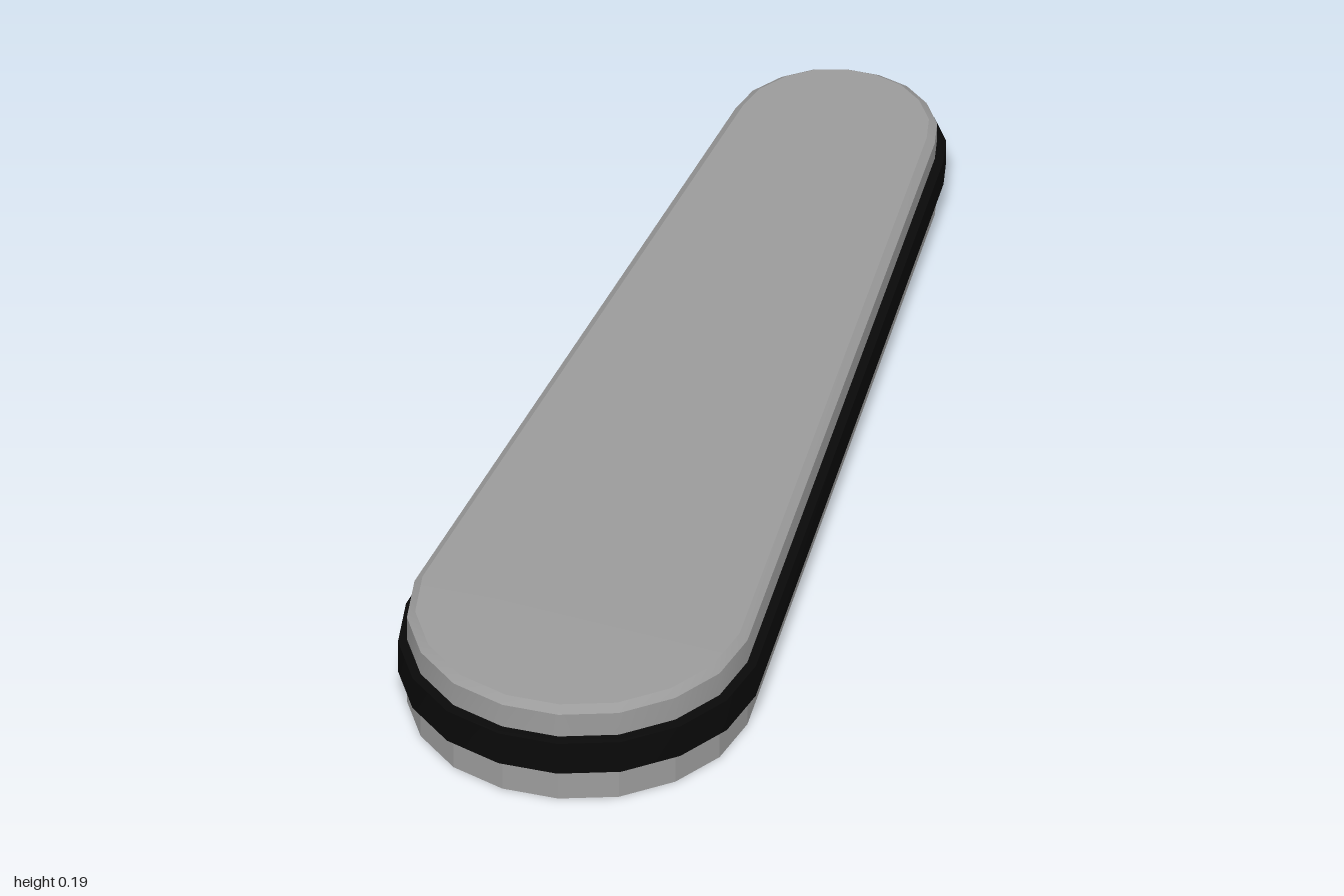
import * as THREE from 'three';
import { toCreasedNormals } from 'three/addons/utils/BufferGeometryUtils.js';

// Right half of the plan outline [x, z], wide front end to narrow back end
const half = [
  [0.05, 0.985], [0.148, 0.95], [0.228, 0.88], [0.28, 0.79], [0.298, 0.685],
  [0.178, -0.82], [0.165, -0.877], [0.13, -0.93], [0.083, -0.968], [0.028, -0.985],
];
const outline = [...half, ...half.map(([x, z]) => [-x, z]).reverse()];

// Outline grown outward by d, with mitred corners
function offsetOutline(d) {
  const n = outline.length;
  const normal = (p, q) => new THREE.Vector2(p[1] - q[1], q[0] - p[0]).normalize();
  return outline.map((p, i) => {
    const a = normal(outline[(i + n - 1) % n], p);
    const b = normal(p, outline[(i + 1) % n]);
    const m = a.clone().add(b).multiplyScalar(d / (1 + a.dot(b)));
    return [p[0] + m.x, p[1] + m.y];
  });
}

// Skin through levels [offset, height at front, height at back], with optional caps.
// Heights are level over the front curve, then slope down to the back.
function loft(levels, { top = false, bottom = false } = {}) {
  const rings = levels.map(([d, front, back]) => offsetOutline(d).map(([x, z]) => {
    const t = Math.min(1, (z + 1) / 1.68);
    return [x, THREE.MathUtils.lerp(back, front, t), z];
  }));
  const n = outline.length;
  const last = rings.length - 1;
  const pos = [];
  const quad = (a, b, c, d) => pos.push(...a, ...b, ...c, ...a, ...c, ...d);
  for (let i = 0; i < n; i++) {
    const j = (i + 1) % n;
    for (let k = 0; k < last; k++) quad(rings[k][i], rings[k][j], rings[k + 1][j], rings[k + 1][i]);
  }
  // Caps are strips running from side to side
  for (let i = 0; i < half.length - 1; i++) {
    const strip = (r) => [r[i], r[i + 1], r[n - 2 - i], r[n - 1 - i]];
    if (top) quad(...strip(rings[last]));
    if (bottom) quad(...strip(rings[0]).reverse());
  }
  const geo = new THREE.BufferGeometry();
  geo.setAttribute('position', new THREE.Float32BufferAttribute(pos, 3));
  geo.computeVertexNormals();
  return geo;
}

export function createModel() {
  const group = new THREE.Group();
  const add = (name, geometry, material) => {
    const mesh = new THREE.Mesh(geometry, material);
    mesh.name = name;
    group.add(mesh);
  };
  const grey = new THREE.MeshStandardMaterial({ color: 0x9b9b9b });
  const greyFlat = new THREE.MeshStandardMaterial({ color: 0x9b9b9b, flatShading: true });
  const black = new THREE.MeshStandardMaterial({ color: 0x090909 });

  // Faceted base with a flat underside
  add('lowerBody', loft([[0, 0, 0], [0, 0.095, 0.09]], { bottom: true }), greyFlat);

  // Upper shell, sloping down to the back, with a bevelled rim
  const upper = loft([[0, 0.095, 0.09], [0, 0.178, 0.148], [-0.014, 0.19, 0.158]], { top: true });
  add('upperBody', toCreasedNormals(upper, 0.5), grey);

  // Raised band around the middle with chamfered edges
  const band = loft([
    [-0.01, 0.058, 0.06], [0.003, 0.058, 0.06], [0.015, 0.064, 0.066],
    [0.015, 0.127, 0.112], [0.003, 0.132, 0.117], [-0.01, 0.132, 0.117],
  ]);
  add('band', toCreasedNormals(band, 0.4), black);

  return group;
}
